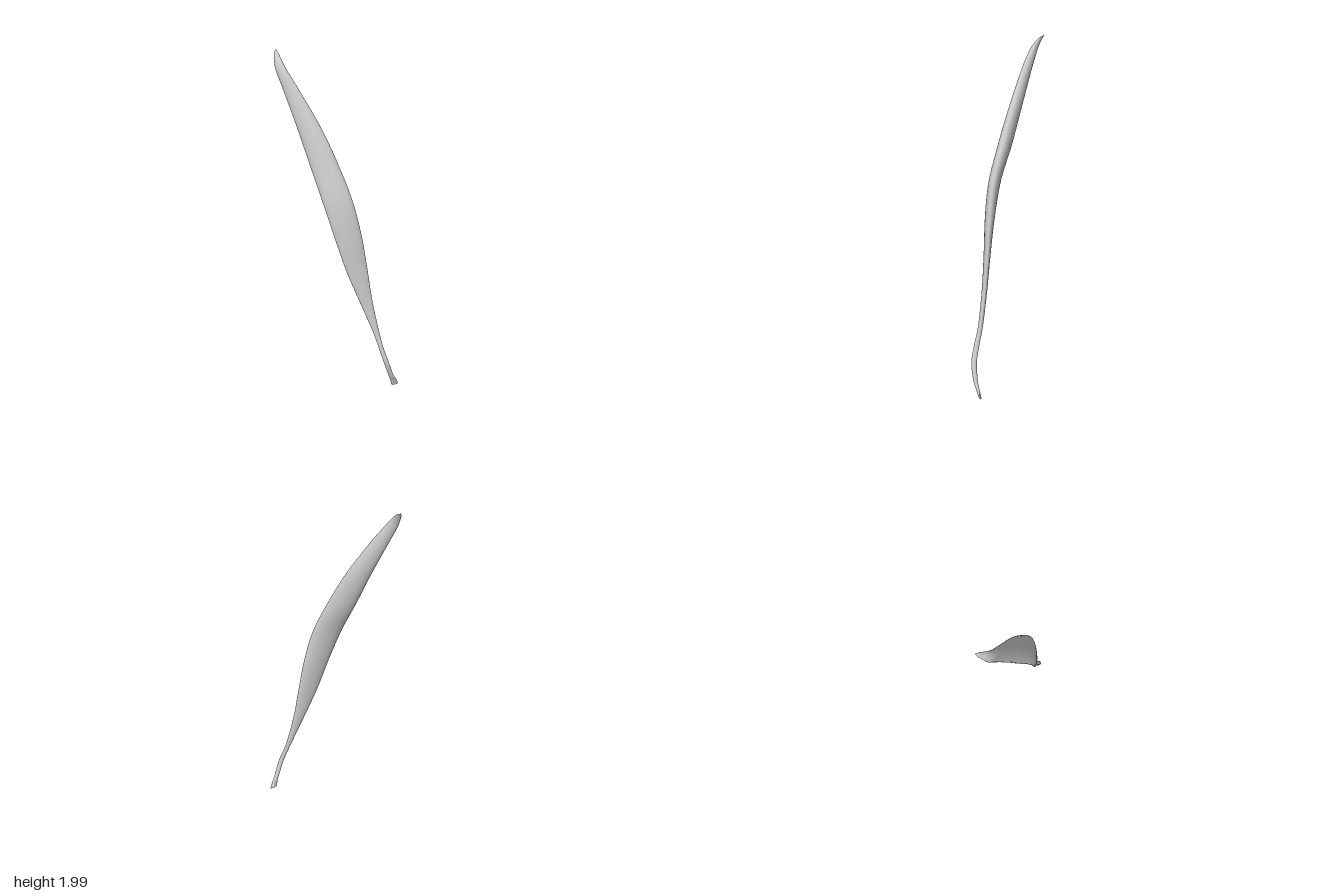
import * as THREE from 'three';

// Cross-sections from stem to tip: y, x min, x max, z min, z max, skew angle
const SECTIONS = [
  [0.01, 0.268, 0.314, 0.188, 0.205, 0.5],
  [0.05, 0.257, 0.296, 0.196, 0.216, 0.3],
  [0.1, 0.239, 0.269, 0.205, 0.231, 0],
  [0.2, 0.205, 0.236, 0.207, 0.239, 0],
  [0.3, 0.176, 0.205, 0.188, 0.219, 0],
  [0.4, 0.146, 0.184, 0.166, 0.195, -0.1],
  [0.6, 0.07, 0.148, 0.136, 0.168, -0.1],
  [0.8, -0.005, 0.121, 0.112, 0.152, -0.1],
  [1.0, -0.065, 0.09, 0.083, 0.141, -0.2],
  [1.2, -0.12, 0.045, 0.041, 0.117, -0.4],
  [1.4, -0.173, -0.02, -0.03, 0.06, -0.5],
  [1.6, -0.226, -0.1, -0.092, -0.008, -0.55],
  [1.8, -0.284, -0.202, -0.155, -0.088, -0.6],
  [1.9, -0.314, -0.256, -0.189, -0.136, -0.5],
  [1.95, -0.317, -0.278, -0.208, -0.168, -0.5],
  [1.985, -0.311, -0.289, -0.226, -0.204, -0.5],
  [2.0, -0.301, -0.297, -0.235, -0.231, -0.5],
];
const SIDES = 28;
const ROWS = 128;

// Smooth curves through the section centres and through their half sizes
const spline = (f) => new THREE.CatmullRomCurve3(
  SECTIONS.map((s) => new THREE.Vector3(...f(s))), false, 'catmullrom', 0.5);
const centres = spline(([y, x0, x1, z0, z1]) => [(x0 + x1) / 2, y, (z0 + z1) / 2]);
const sizes = spline(([, x0, x1, z0, z1, a]) => [(x1 - x0) / 2, (z1 - z0) / 2, a]);

// One skewed oval ring at t
function ring(t) {
  const c = centres.getPoint(t), s = sizes.getPoint(t), out = [];
  for (let i = 0; i < SIDES; i++) {
    const a = (i / SIDES) * Math.PI * 2;
    out.push(c.x + s.x * Math.cos(a), c.y, c.z + s.y * Math.sin(a - s.z));
  }
  return out;
}

function makeMesh(name, positions, index, material) {
  const g = new THREE.BufferGeometry();
  g.setAttribute('position', new THREE.Float32BufferAttribute(positions, 3));
  g.setIndex(index);
  g.computeVertexNormals();
  const m = new THREE.Mesh(g, material);
  m.name = name;
  return m;
}

// Fan that closes a ring
function makeCap(name, t, up, material) {
  const c = centres.getPoint(t);
  const positions = [...ring(t), c.x, c.y + (up ? 0.001 : 0), c.z];
  const index = [];
  for (let i = 0; i < SIDES; i++) {
    const j = (i + 1) % SIDES;
    index.push(SIDES, up ? j : i, up ? i : j);
  }
  return makeMesh(name, positions, index, material);
}

export function createModel() {
  const group = new THREE.Group();
  group.name = 'pod';
  const material = new THREE.MeshStandardMaterial({ color: 0xcccccc });

  // Stem and blade in one smooth loft
  const positions = [], index = [];
  for (let r = 0; r <= ROWS; r++) {
    positions.push(...ring(r / ROWS));
    if (r === ROWS) break;
    for (let i = 0; i < SIDES; i++) {
      const j = (i + 1) % SIDES;
      const a = r * SIDES + i, b = r * SIDES + j;
      index.push(a, a + SIDES, b, b, a + SIDES, b + SIDES);
    }
  }
  group.add(makeMesh('stemAndBlade', positions, index, material));

  // Cut end of the stem and closed tip
  group.add(makeCap('stemCut', 0, false, material));
  group.add(makeCap('tip', 1, true, material));
  return group;
}
